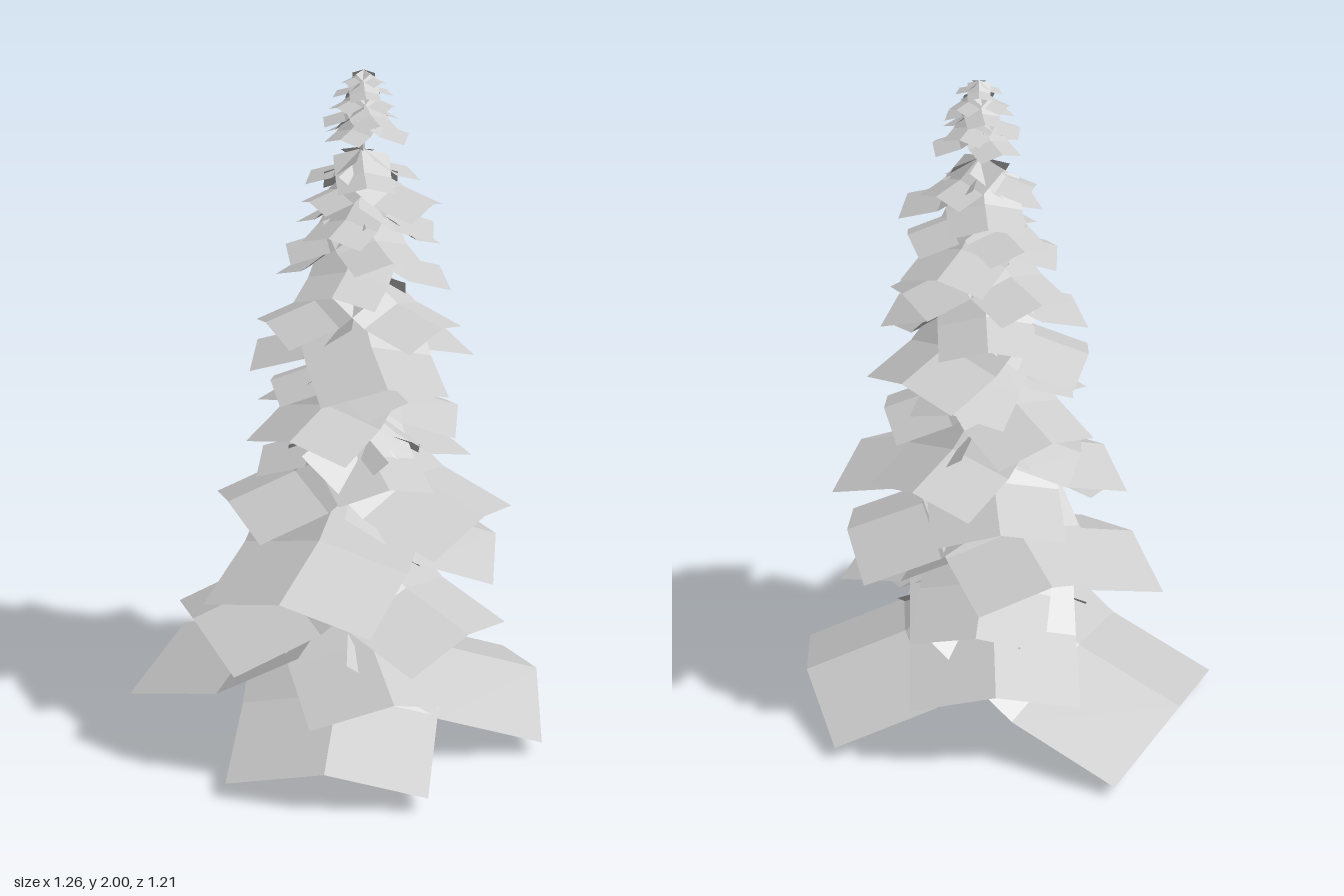
import * as THREE from 'three';

const material = new THREE.MeshStandardMaterial({ color: 0xcccccc, flatShading: true, side: THREE.DoubleSide });

// Slightly leaning trunk axis
const trunkAt = (y) => new THREE.Vector3(0.042 + 0.022 * y, y, 0.042 - 0.03 * y);

// Tiers of boughs: tip height, then angle (degrees from +x towards +z) and reach of each
const tiers = [
  [0.125, -1, 0.585, 103, 0.56, 220, 0.645],
  [0.28, 80, 0.46, 279, 0.48],
  [0.42, 45, 0.44, 164, 0.5, 287, 0.38],
  [0.6, 3, 0.43, 120, 0.5, 255, 0.42],
  [0.77, 38, 0.44, 165, 0.39, 275, 0.37],
  [0.86, 75, 0.28, 200, 0.28, 318, 0.35],
  [1.01, 3, 0.3, 130, 0.33, 245, 0.32],
  [1.1, 60, 0.25, 180, 0.25, 300, 0.27],
  [1.19, 82, 0.35, 200, 0.3, 325, 0.33],
  [1.3, 38, 0.28, 165, 0.28, 278, 0.26],
  [1.41, 345, 0.25, 115, 0.23, 240, 0.25],
  [1.5, 70, 0.21, 185, 0.21, 310, 0.25],
  [1.56, 0, 0.21, 125, 0.18, 245, 0.2],
  [1.64, 30, 0.22, 160, 0.16, 275, 0.2],
  [1.7, 90, 0.15, 205, 0.15, 330, 0.16],
  [1.82, 10, 0.13, 130, 0.11, 250, 0.12],
  [1.86, 70, 0.11, 190, 0.11, 310, 0.11],
  [1.9, 30, 0.09, 150, 0.09, 270, 0.09],
  [1.93, 90, 0.08, 210, 0.08, 330, 0.08],
  [1.965, 40, 0.06, 160, 0.06, 280, 0.06],
];

// Bough: a sheet folded along its ridge, steep near the trunk and flatter towards the tip
function bough(tipY, degrees, reach) {
  const geometry = new THREE.PlaneGeometry(1, 1, 2, 2);
  const p = geometry.attributes.position;
  const drop = [0.5, 0.17, 0]; // ridge height above the tip at root, bend and tip
  const along = [0, 0.47, 1];
  for (let i = 0; i < p.count; i++) {
    const row = Math.floor(i / 3);
    const side = (i % 3) - 1;
    const fold = Math.abs(side);
    p.setXYZ(i,
      reach * (along[row] - 0.075 * fold),
      reach * (drop[row] - 0.14 * fold),
      reach * 0.52 * side);
  }
  geometry.computeVertexNormals();
  const mesh = new THREE.Mesh(geometry, material);
  mesh.name = 'bough';
  mesh.position.copy(trunkAt(tipY));
  mesh.rotation.y = -THREE.MathUtils.degToRad(degrees);
  return mesh;
}

export function createModel() {
  const model = new THREE.Group();
  model.name = 'firTree';

  // Six-sided trunk, sheared along its lean
  const trunkGeometry = new THREE.CylinderGeometry(0.004, 0.048, 1.98, 6);
  trunkGeometry.rotateY(0.25).translate(0, 0.99, 0);
  const p = trunkGeometry.attributes.position;
  for (let i = 0; i < p.count; i++) {
    const c = trunkAt(p.getY(i));
    p.setXYZ(i, p.getX(i) + c.x, c.y, p.getZ(i) + c.z);
  }
  const trunk = new THREE.Mesh(trunkGeometry, material);
  trunk.name = 'trunk';
  model.add(trunk);

  // Boughs, two or three to a tier
  tiers.forEach(([y, ...pairs], t) => {
    const tier = new THREE.Group();
    tier.name = `boughTier${t + 1}`;
    for (let i = 0; i < pairs.length; i += 2) tier.add(bough(y, pairs[i], pairs[i + 1]));
    model.add(tier);
  });
  return model;
}
